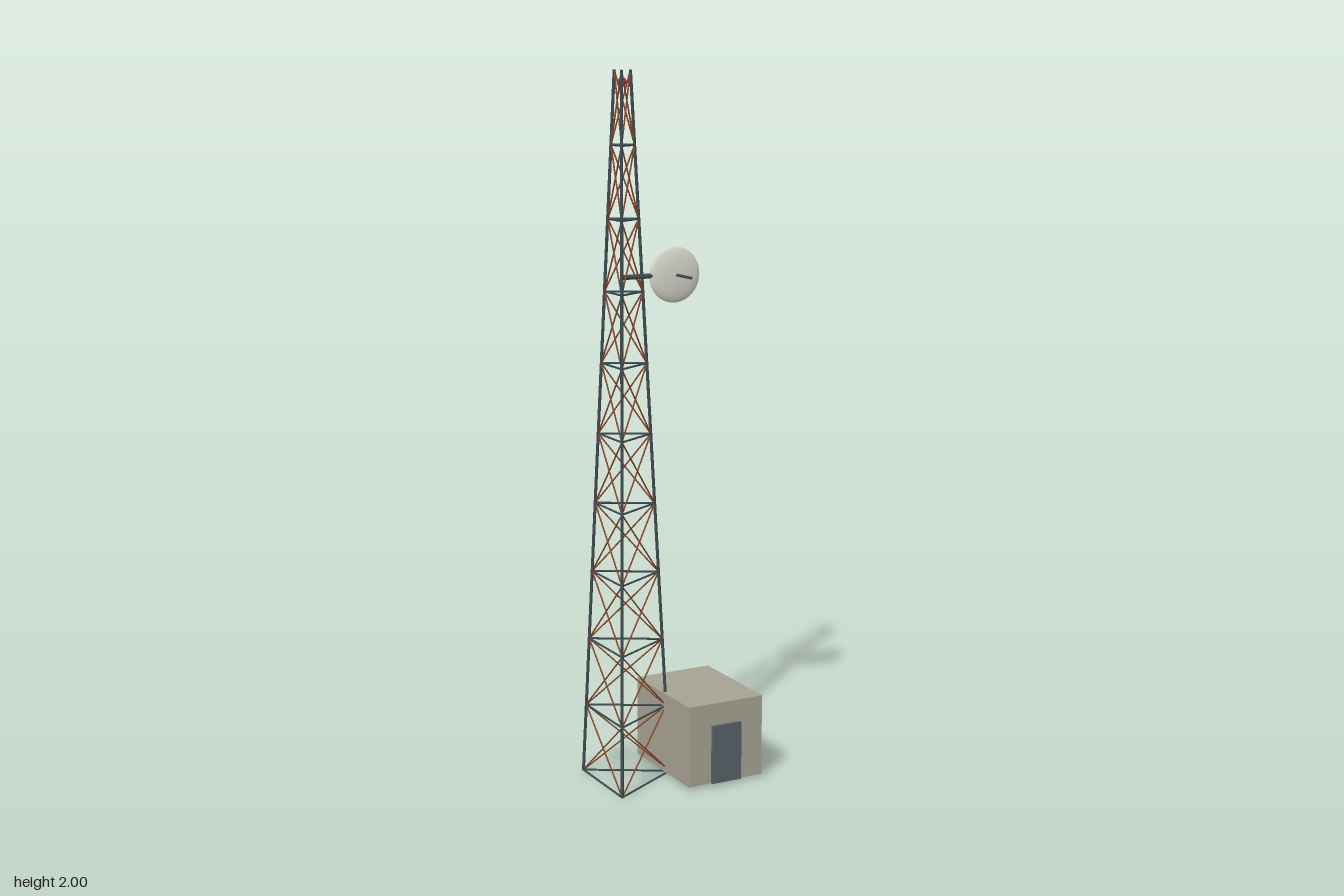
import * as THREE from 'three';

const mat = (name, color) => {
  const m = new THREE.MeshStandardMaterial({ color });
  m.name = name;
  return m;
};

export function createModel() {
  const steel = mat('dark steel', 0x3f4c52);
  const rust = mat('rust brown', 0x8a4a2c);
  const wall = mat('shelter wall', 0xa6a292);
  const doorGrey = mat('door grey', 0x566268);
  const dishWhite = mat('dish white', 0xd6d6ca);
  const red = mat('beacon red', 0xc4262a);

  const model = new THREE.Group();
  model.name = 'latticeTower';
  const CX = -0.141, CZ = -0.005;

  const add = (parent, name, geometry, material, x = 0, y = 0, z = 0) => {
    const mesh = new THREE.Mesh(geometry, material);
    mesh.name = name;
    mesh.position.set(x, y, z);
    parent.add(mesh);
    return mesh;
  };

  // A round bar between two points
  const up = new THREE.Vector3(0, 1, 0);
  const bar = (parent, name, a, b, radius, material, sides = 6) => {
    const dir = b.clone().sub(a);
    const geometry = new THREE.CylinderGeometry(radius, radius, dir.length(), sides);
    const mesh = add(parent, name, geometry, material);
    mesh.position.copy(a).add(b).multiplyScalar(0.5);
    mesh.quaternion.setFromUnitVectors(up, dir.normalize());
  };

  // Three-sided tapering lattice mast
  const mast = new THREE.Group();
  mast.name = 'mast';
  model.add(mast);
  const BAYS = 10, Y0 = 0.004, Y1 = 1.999;
  const node = (leg, level) => {
    const t = level / BAYS;
    const r = THREE.MathUtils.lerp(0.144, 0.025, t);
    const a = (leg % 3) * Math.PI * 2 / 3;
    return new THREE.Vector3(
      CX + r * Math.cos(a), THREE.MathUtils.lerp(Y0, Y1, t), CZ + r * Math.sin(a));
  };
  for (let i = 0; i < 3; i++) {
    bar(mast, 'leg', node(i, 0), node(i, BAYS), 0.0045, steel, 8);
    for (let k = 0; k < BAYS; k++) {
      bar(mast, 'horizontalBrace', node(i, k), node(i + 1, k), 0.003, steel);
      bar(mast, 'diagonalBrace', node(i, k), node(i + 1, k + 1), 0.0022, rust);
      bar(mast, 'diagonalBrace', node(i + 1, k), node(i, k + 1), 0.0022, rust);
    }
  }

  // Warning light at the mast head
  add(model, 'beacon', new THREE.SphereGeometry(0.012, 16, 12), red, CX, 1.968, CZ);

  // Dish on its side arm, with a feed rod pointing forward
  const DX = 0.018, DY = 1.442;
  const dish = add(model, 'dish', new THREE.SphereGeometry(0.078, 32, 20), dishWhite, DX, DY, CZ);
  dish.scale.z = 0.21;
  bar(model, 'dishArm', new THREE.Vector3(CX, DY, CZ),
    new THREE.Vector3(DX - 0.04, DY, CZ), 0.007, steel, 10);
  bar(model, 'feedRod', new THREE.Vector3(DX, DY, CZ),
    new THREE.Vector3(DX, DY, 0.092), 0.004, steel, 8);

  // Equipment shelter with a door on the front
  add(model, 'shelter', new THREE.BoxGeometry(0.237, 0.235, 0.316), wall, 0.0985, 0.127, -0.005);
  add(model, 'door', new THREE.BoxGeometry(0.093, 0.17, 0.0095), doorGrey, 0.0985, 0.095, 0.157);

  return model;
}
